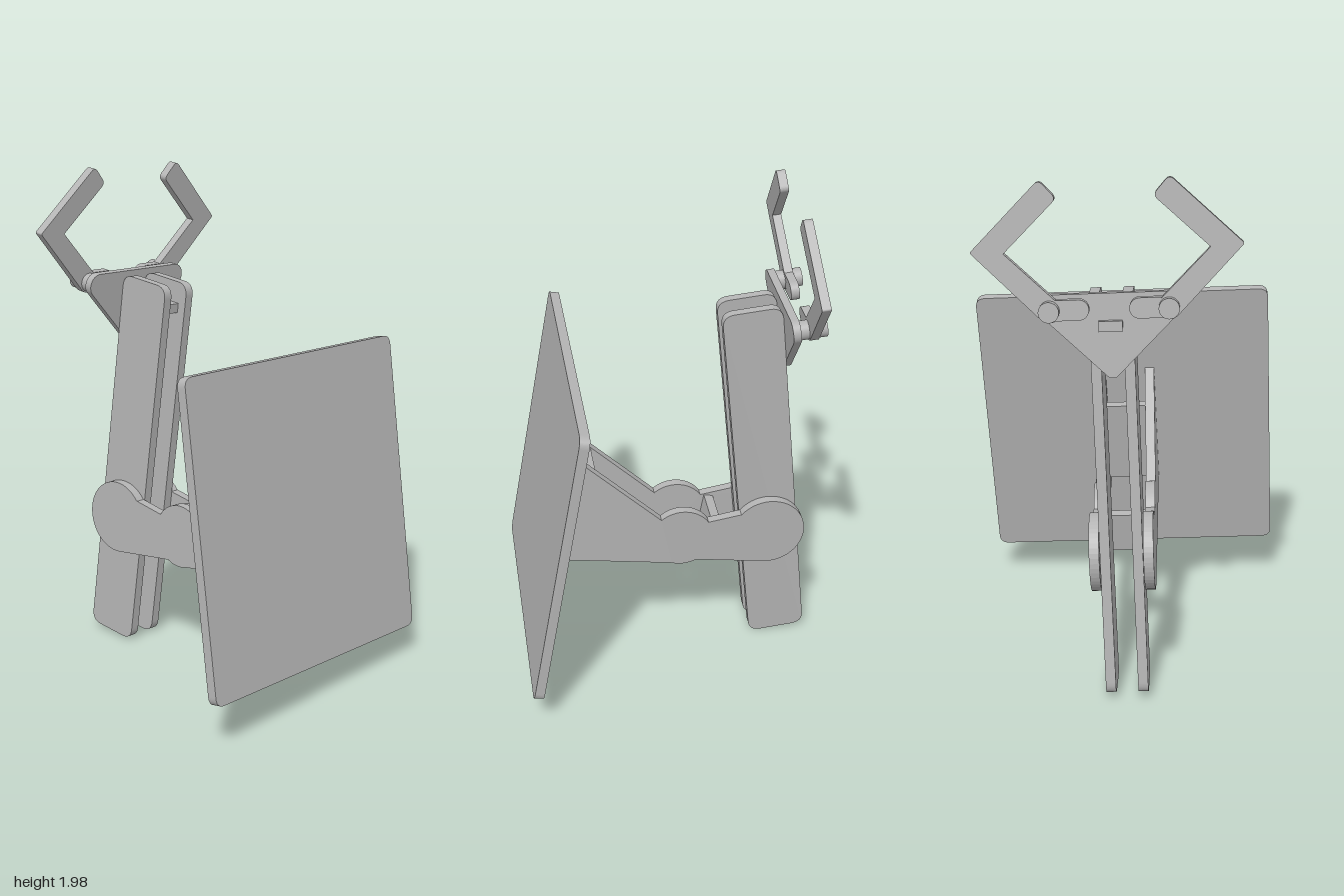
import * as THREE from 'three';

const T = 0.038; // sheet thickness
const deg = Math.PI / 180;
const grey = new THREE.MeshStandardMaterial({ color: 0xb4b4b4 });
grey.name = 'plain grey';

function add(parent, name, geometry, x = 0, y = 0, z = 0) {
  const mesh = new THREE.Mesh(geometry, grey);
  mesh.name = name;
  mesh.position.set(x, y, z);
  parent.add(mesh);
  return mesh;
}

// Closed polygon whose corners [x, y, radius] are rounded
function roundedShape(points) {
  const shape = new THREE.Shape();
  const n = points.length;
  points.forEach(([x, y, r = 0], i) => {
    const p = new THREE.Vector2(x, y);
    const towards = (q) => new THREE.Vector2(q[0], q[1]).sub(p).setLength(r).add(p);
    const a = towards(points[(i + n - 1) % n]);
    const b = towards(points[(i + 1) % n]);
    if (i === 0) shape.moveTo(a.x, a.y);
    else shape.lineTo(a.x, a.y);
    if (r > 0) shape.quadraticCurveTo(x, y, b.x, b.y);
  });
  shape.closePath();
  return shape;
}

function sheet(shape, depth = T) {
  return new THREE.ExtrudeGeometry(shape, { depth, bevelEnabled: false, curveSegments: 16 });
}

// Pair of side plates; the profile is drawn as (z, y), outer is the outer x
function sidePair(parent, name, shape, outer) {
  const geo = sheet(shape).rotateY(-Math.PI / 2);
  add(parent, name + 'Left', geo, outer);
  add(parent, name + 'Right', geo, -outer + T);
}

function rect(w, h, r) {
  return roundedShape([[-w / 2, -h / 2, r], [w / 2, -h / 2, r], [w / 2, h / 2, r], [-w / 2, h / 2, r]]);
}

export function createModel() {
  const root = new THREE.Group();
  root.name = 'roboticArm';

  // Whole assembly is slightly turned and tilted
  const body = new THREE.Group();
  body.name = 'assembly';
  const u = new THREE.Vector3(0.995, -0.047, -0.08).normalize();
  const n = u.clone().cross(new THREE.Vector3(0.034, 0.984, -0.173)).normalize();
  const v = n.clone().cross(u);
  body.quaternion.setFromRotationMatrix(new THREE.Matrix4().makeBasis(u, v, n));
  body.position.set(-0.003, 0.773, 0.472);
  root.add(body);

  // Square mounting plate
  add(body, 'mountingPlate', sheet(rect(1.195, 1.195, 0.04)), 0, 0, -T);

  // Tapered bracket with a small knuckle and a large hub
  const b = new THREE.Shape();
  b.moveTo(-T, -0.26);
  b.lineTo(-T, 0.255);
  b.lineTo(-0.481, -0.036);
  b.absarc(-0.581, -0.115, 0.127, 38 * deg, 138 * deg, false);
  b.lineTo(-0.804, 0.016);
  b.absarc(-0.934, -0.057, 0.148, 29 * deg, 270 * deg, false);
  b.lineTo(-0.657, -0.216);
  b.absarc(-0.581, -0.115, 0.127, 233 * deg, 280 * deg, false);
  b.closePath();
  sidePair(body, 'bracket', b, 0.12);

  // Cross plates between the bracket sides
  add(body, 'bracketCrossPlate', new THREE.BoxGeometry(0.165, 0.34, T), 0, -0.015, -0.165);
  add(body, 'linkCrossPlate', new THREE.BoxGeometry(0.165, 0.16, T), 0, -0.11, -0.71);

  // Upright arm, leaning about the hub
  const arm = new THREE.Group();
  arm.name = 'arm';
  arm.position.set(0, 0.17, -0.878);
  arm.rotation.x = 15.7 * deg;
  body.add(arm);
  sidePair(arm, 'armPlate', rect(0.234, 1.53, 0.05), 0.08);
  add(arm, 'armCrossPlate', new THREE.BoxGeometry(0.086, T, 0.25), 0, 0.66, -0.045);

  // Gripper base: triangle with rounded upper ends
  const px = 0.212, py = 0.73, r = 0.047;
  const base = new THREE.Shape();
  base.moveTo(-0.012, 0.468);
  base.lineTo(0.012, 0.468);
  base.absarc(px, py, r, -48 * deg, 90 * deg, false);
  base.absarc(-px, py, r, 90 * deg, 228 * deg, false);
  base.closePath();
  add(arm, 'gripperBase', sheet(base, 0.03), 0, 0, -0.147);

  // Jaw outline: hooked claw, rounded around its pivot
  const claw = roundedShape([
    [0.243, 0.7], [0.482, 0.946, 0.008], [0.228, 1.192, 0.022],
    [0.168, 1.125, 0.022], [0.363, 0.938], [0.182, 0.76],
  ]);
  const link = new THREE.Shape();
  link.absarc(px, py, 0.037, -90 * deg, 90 * deg, false);
  link.absarc(0.108, py, 0.037, 90 * deg, 270 * deg, false);
  link.closePath();
  const disc = (rad, h) => new THREE.CylinderGeometry(rad, rad, h, 32).rotateX(Math.PI / 2);

  for (const side of [1, -1]) {
    const jaw = new THREE.Group();
    jaw.name = side > 0 ? 'jawLeft' : 'jawRight';
    // Half turn about the upright axis mirrors the flat jaw about its own layer
    if (side < 0) {
      jaw.rotation.y = Math.PI;
      jaw.position.z = -0.395;
    }
    arm.add(jaw);
    add(jaw, 'claw', sheet(claw, 0.035), 0, 0, -0.215);
    add(jaw, 'clawPivot', disc(0.043, 0.035), px, py, -0.1975);
    add(jaw, 'jawLink', sheet(link, 0.034), 0, 0, -0.2145);
    add(arm, 'pivotSpacer', disc(0.037, 0.034), side * px, py, -0.164);
    add(arm, 'pivotHead', disc(0.037, 0.036), side * px, py, -0.232);
  }
  return root;
}
